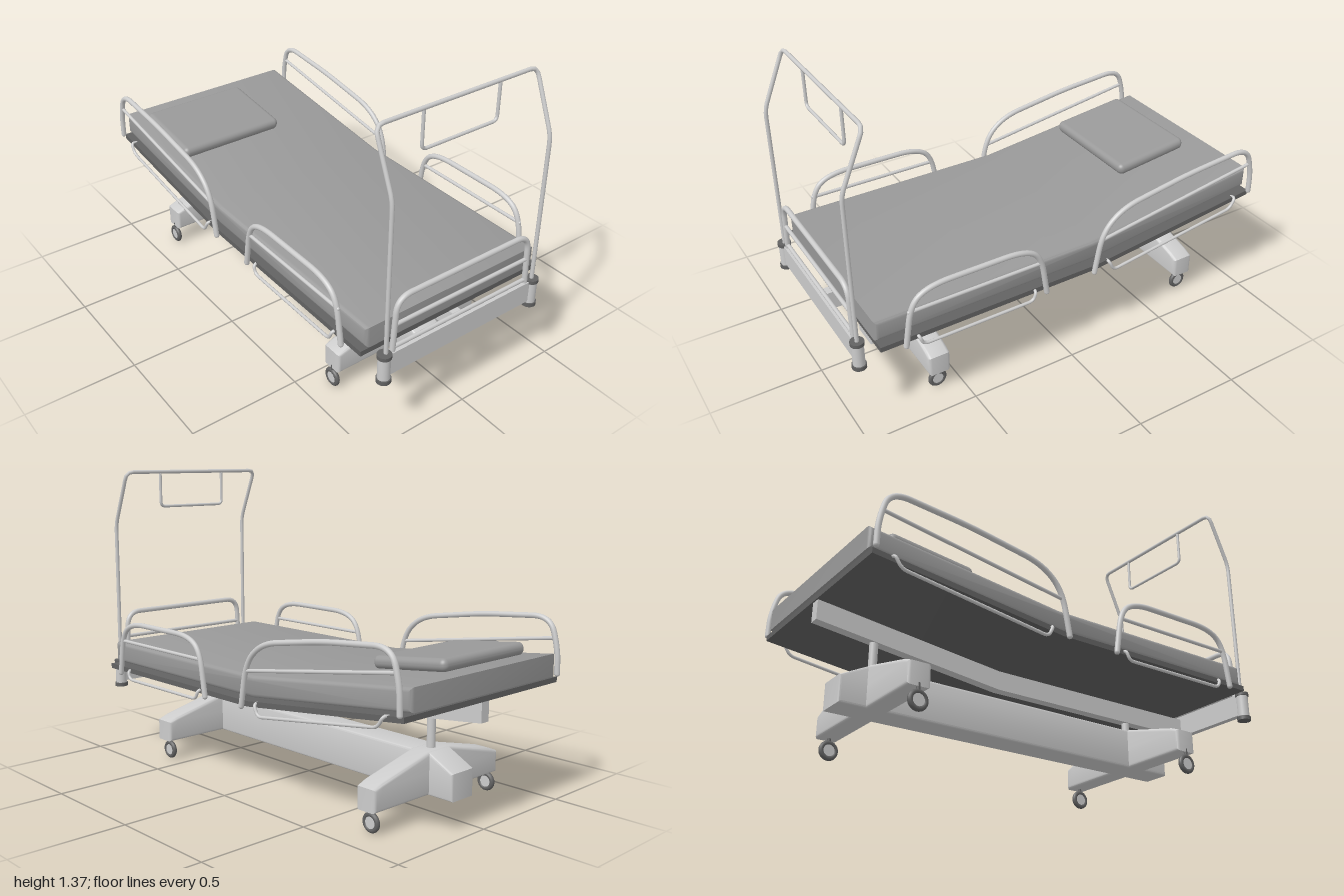
import * as THREE from 'three';
import { toCreasedNormals } from 'three/addons/utils/BufferGeometryUtils.js';
import { RoundedBoxGeometry } from 'three/addons/geometries/RoundedBoxGeometry.js';

const material = (name, color) => {
  const m = new THREE.MeshStandardMaterial({ color });
  m.name = name;
  return m;
};

const BEND = -0.13;  // z where the head section starts to rise
const SLOPE = 0.115; // rise of the head section per unit of length

export function createModel() {
  const model = new THREE.Group();
  const frameGrey = material('frame light grey', 0xcccccc);
  const clothGrey = material('mattress grey', 0x999999);
  const darkGrey = material('dark grey', 0x626262);

  const add = (name, geometry, mat, x = 0, y = 0, z = 0, parent = model) => {
    const mesh = new THREE.Mesh(geometry, mat);
    mesh.name = name;
    mesh.position.set(x, y, z);
    parent.add(mesh);
    return mesh;
  };

  // Outline extruded to a total depth, centred, with softened edges
  const slab = (points, depth, bevel) => {
    const shape = new THREE.Shape(points.map(([a, b]) => new THREE.Vector2(a, b)));
    const g = new THREE.ExtrudeGeometry(shape, {
      depth: depth - 2 * bevel, bevelEnabled: bevel > 0, bevelSize: bevel,
      bevelThickness: bevel, bevelOffset: -bevel, bevelSegments: 3,
    });
    g.translate(0, 0, bevel - depth / 2);
    return toCreasedNormals(g, 0.6);
  };
  // The same for an outline given as [z, y]
  const sideSlab = (points, depth, bevel) => slab(points, depth, bevel).rotateY(-Math.PI / 2);

  // Side outline of a layer that rises towards the head
  const bent = (front, back, bottom, top) => {
    const rise = (BEND - back) * SLOPE;
    return [[front, bottom], [front, top], [BEND, top], [back, top + rise], [back, bottom + rise], [BEND, bottom]];
  };

  // Round tube along straight runs with curved corners
  const tube = (name, points, radius, corner, parent = model, mat = frameGrey) => {
    const p = points.map((q) => new THREE.Vector3(...q));
    const path = new THREE.CurvePath();
    let last = p[0];
    for (let i = 1; i < p.length - 1; i++) {
      const toward = (q) => {
        const d = q.clone().sub(p[i]);
        return p[i].clone().addScaledVector(d.clone().normalize(), Math.min(corner, d.length() * 0.48));
      };
      const a = toward(p[i - 1]), b = toward(p[i + 1]);
      path.add(new THREE.LineCurve3(last, a));
      path.add(new THREE.QuadraticBezierCurve3(a, p[i], b));
      last = b;
    }
    path.add(new THREE.LineCurve3(last, p[p.length - 1]));
    const segments = points.length > 2 ? 120 : 1;
    add(name, new THREE.TubeGeometry(path, segments, radius, 12), mat, 0, 0, 0, parent);
    for (const end of [p[0], p[p.length - 1]]) {
      add(name + 'End', new THREE.SphereGeometry(radius, 12, 8), mat, end.x, end.y, end.z, parent);
    }
  };

  // Mattress, platform and central spine
  add('mattress', sideSlab(bent(0.91, -1, 0.445, 0.54), 0.9, 0.018), clothGrey, -0.005);
  add('platform', sideSlab(bent(0.905, -0.995, 0.415, 0.438), 0.955, 0), darkGrey);
  add('spine', sideSlab(bent(0.96, -0.99, 0.33, 0.416), 0.045, 0), frameGrey);

  // Pillow
  const pillow = add('pillow', new RoundedBoxGeometry(0.535, 0.055, 0.385, 5, 0.026), clothGrey, -0.137, 0.632, -0.7);
  pillow.rotation.x = Math.atan(SLOPE);
  const corners = pillow.geometry.attributes.position;
  // Round the pillow outline by pulling in its corners
  for (let i = 0; i < corners.count; i++) {
    const x = corners.getX(i), z = corners.getZ(i);
    const over = Math.max(0, Math.abs(x) / 0.2675 + Math.abs(z) / 0.1925 - 1.85);
    corners.setX(i, x * (1 - over * 0.12));
    corners.setZ(i, z * (1 - over * 0.12));
  }

  // Foot crossbar and corner posts
  add('footCrossbar', new THREE.BoxGeometry(0.78, 0.1, 0.03), frameGrey, -0.012, 0.38, 0.962);
  for (const x of [-0.41, 0.387]) {
    add('cornerPost', new THREE.CylinderGeometry(0.026, 0.026, 0.12, 24), frameGrey, x, 0.37, 0.965);
    add('postBottomCap', new THREE.CylinderGeometry(0.031, 0.031, 0.018, 24), darkGrey, x, 0.312, 0.965);
    add('postTopCap', new THREE.CylinderGeometry(0.03, 0.03, 0.016, 24), darkGrey, x, 0.428, 0.965);
  }

  // Overhead lifting frame with its hanging handle
  tube('liftingFrame', [
    [-0.403, 0.42, 0.965], [-0.403, 1.11, 0.965], [-0.403, 1.362, 0.86],
    [0.387, 1.362, 0.86], [0.387, 1.11, 0.965], [0.387, 0.42, 0.965],
  ], 0.009, 0.035);
  tube('liftingHandle', [
    [-0.183, 1.36, 0.86], [-0.183, 1.194, 0.86], [0.194, 1.194, 0.86], [0.194, 1.36, 0.86],
  ], 0.007, 0.025);

  // Foot rail
  tube('footRail', [[-0.37, 0.42, 0.962], [-0.355, 0.67, 0.962], [0.338, 0.67, 0.962], [0.348, 0.42, 0.962]], 0.012, 0.07);
  tube('footRailMiddleBar', [[-0.36, 0.55, 0.962], [0.342, 0.55, 0.962]], 0.009, 0);
  tube('footRailLowerBar', [[-0.367, 0.445, 0.962], [0.346, 0.445, 0.962]], 0.009, 0);

  // Side rails, a low pair at the foot and a raised pair at the head
  for (const side of [-1, 1]) {
    const x = side * 0.49, inner = side * 0.455;
    const at = (points) => points.map(([z, y]) => [x, y, z]);
    const rail = new THREE.Group();
    rail.name = side > 0 ? 'leftSideRails' : 'rightSideRails';
    model.add(rail);
    tube('footSideRail', at([[0.8, 0.41], [0.77, 0.61], [0.68, 0.663], [0.26, 0.663], [0.17, 0.61], [0.138, 0.41]]), 0.012, 0.09, rail);
    tube('footSideRailBar', at([[0.78, 0.57], [0.165, 0.57]]), 0.008, 0, rail);
    tube('footSideSupport', [[inner, 0.427, 0.74], ...at([[0.74, 0.43], [0.725, 0.388], [0.205, 0.388], [0.19, 0.43]]), [inner, 0.427, 0.19]],
      0.007, 0.025, rail);
    tube('headSideRail', at([[-0.11, 0.415], [-0.145, 0.61], [-0.25, 0.7], [-0.6, 0.755], [-0.945, 0.785], [-0.985, 0.65], [-0.987, 0.545]]),
      0.012, 0.09, rail);
    tube('headSideRailBar', at([[-0.14, 0.57], [-0.968, 0.695]]), 0.008, 0, rail);
    tube('headSideSupport', [[inner, 0.437, -0.19], ...at([[-0.19, 0.44], [-0.215, 0.388], [-0.88, 0.48], [-0.91, 0.53]]), [inner, 0.52, -0.91]],
      0.007, 0.025, rail);
  }

  // Base beam with sloping ends
  add('baseBeam', sideSlab([
    [0.782, 0.095], [0.782, 0.21], [0.66, 0.272], [-0.77, 0.272], [-0.892, 0.21], [-0.892, 0.095],
  ], 0.136, 0.01), frameGrey);

  // Cross legs, lifting columns and casters
  for (const z of [0.605, -0.725]) {
    add('crossLeg', slab([
      [-0.385, 0.095], [-0.385, 0.19], [-0.34, 0.208], [-0.07, 0.274],
      [0.07, 0.274], [0.34, 0.208], [0.385, 0.19], [0.385, 0.095],
    ], 0.1, 0.014), frameGrey, 0, 0, z);
    const top = z > 0 ? 0.35 : 0.42;
    add('liftColumn', new THREE.CylinderGeometry(0.018, 0.018, top - 0.26, 24), frameGrey, 0, (top + 0.26) / 2, z);
    for (const x of [-0.378, 0.35]) {
      const caster = new THREE.Group();
      caster.name = 'caster';
      caster.position.set(x, 0.043, z);
      model.add(caster);
      const tyre = add('tyre', new THREE.TorusGeometry(0.032, 0.011, 12, 32), darkGrey, 0, 0, 0, caster);
      tyre.rotation.y = Math.PI / 2;
      const hub = add('hub', new THREE.CylinderGeometry(0.028, 0.028, 0.016, 24), frameGrey, 0, 0, 0, caster);
      hub.rotation.z = Math.PI / 2;
      add('stem', new THREE.CylinderGeometry(0.008, 0.008, 0.03, 12), darkGrey, 0, 0.052, 0, caster);
    }
  }

  return model;
}
